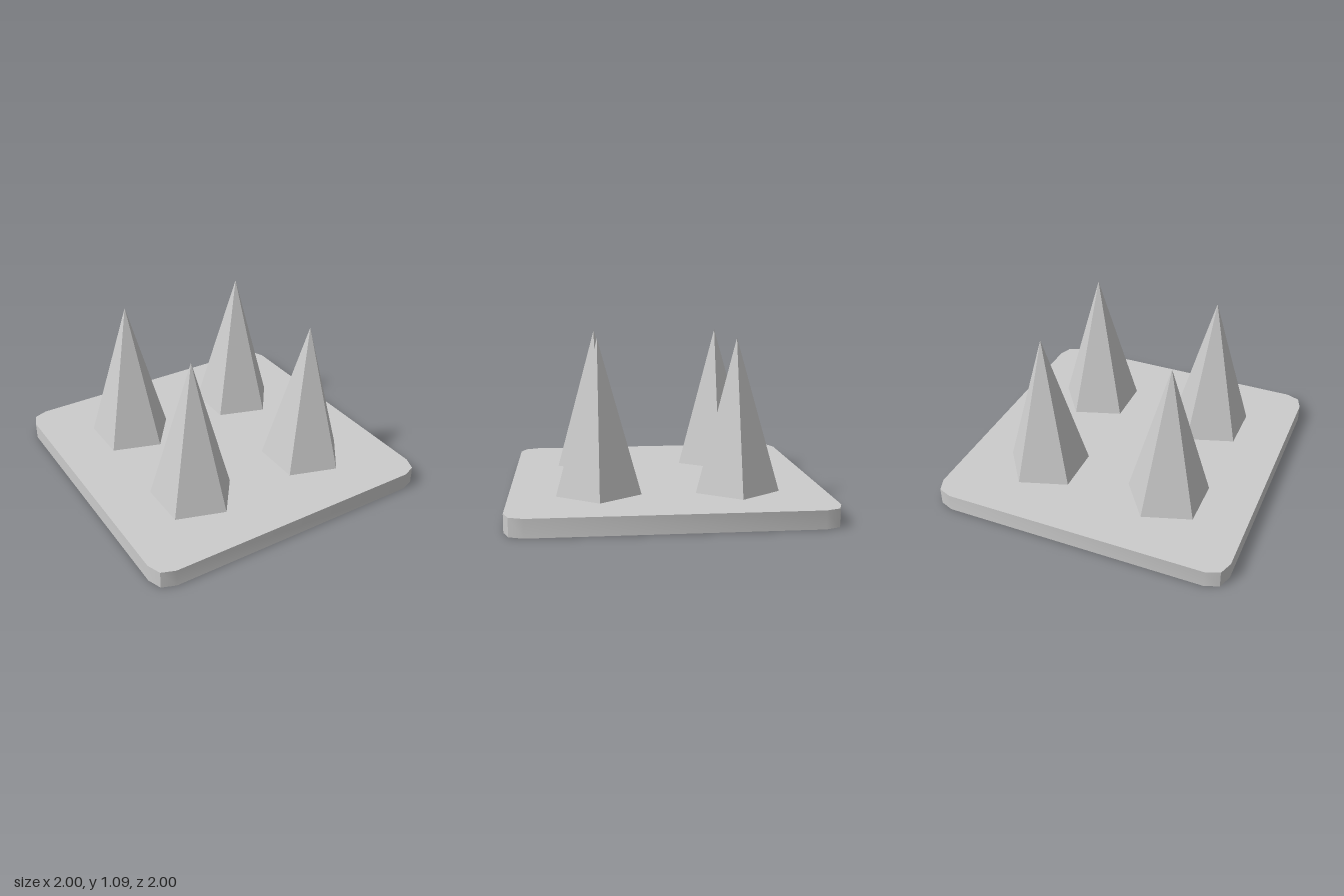
import * as THREE from 'three';
import { toCreasedNormals } from 'three/addons/utils/BufferGeometryUtils.js';

const PLATE = 0.115, SPIKE_TOP = 1.085, SPIKE_RADIUS = 0.28, SPACING = 0.4375;

// Square plate outline with two-step clipped corners
function plateShape() {
  const corner = [[1, 0.876], [0.966, 0.966], [0.876, 1]];
  const points = [];
  for (let i = 0; i < 4; i++) {
    for (const [x, y] of corner) {
      points.push(new THREE.Vector2(x, y).rotateAround(new THREE.Vector2(), i * Math.PI / 2));
    }
  }
  return new THREE.Shape(points);
}

export function createModel() {
  const model = new THREE.Group();
  model.name = 'spikeTrap';

  // Base plate, softly shaded into its clipped corners
  const plateGeometry = new THREE.ExtrudeGeometry(plateShape(), { depth: PLATE, bevelEnabled: false });
  plateGeometry.rotateX(-Math.PI / 2);
  const plate = new THREE.Mesh(
    toCreasedNormals(plateGeometry, 0.55),
    new THREE.MeshStandardMaterial({ color: 0xcccccc })
  );
  plate.name = 'basePlate';
  model.add(plate);

  // Four five-sided spikes, each with one edge towards +x
  const height = SPIKE_TOP - PLATE;
  const spikeGeometry = new THREE.ConeGeometry(SPIKE_RADIUS, height, 5, 1, true, Math.PI / 2);
  const spikeMaterial = new THREE.MeshStandardMaterial({ color: 0xcccccc, flatShading: true });
  for (const [xName, x] of [['Left', 1], ['Right', -1]]) {
    for (const [zName, z] of [['front', 1], ['back', -1]]) {
      const spike = new THREE.Mesh(spikeGeometry, spikeMaterial);
      spike.name = `${zName}${xName}Spike`;
      spike.position.set(x * SPACING, PLATE + height / 2, z * SPACING);
      model.add(spike);
    }
  }
  return model;
}
